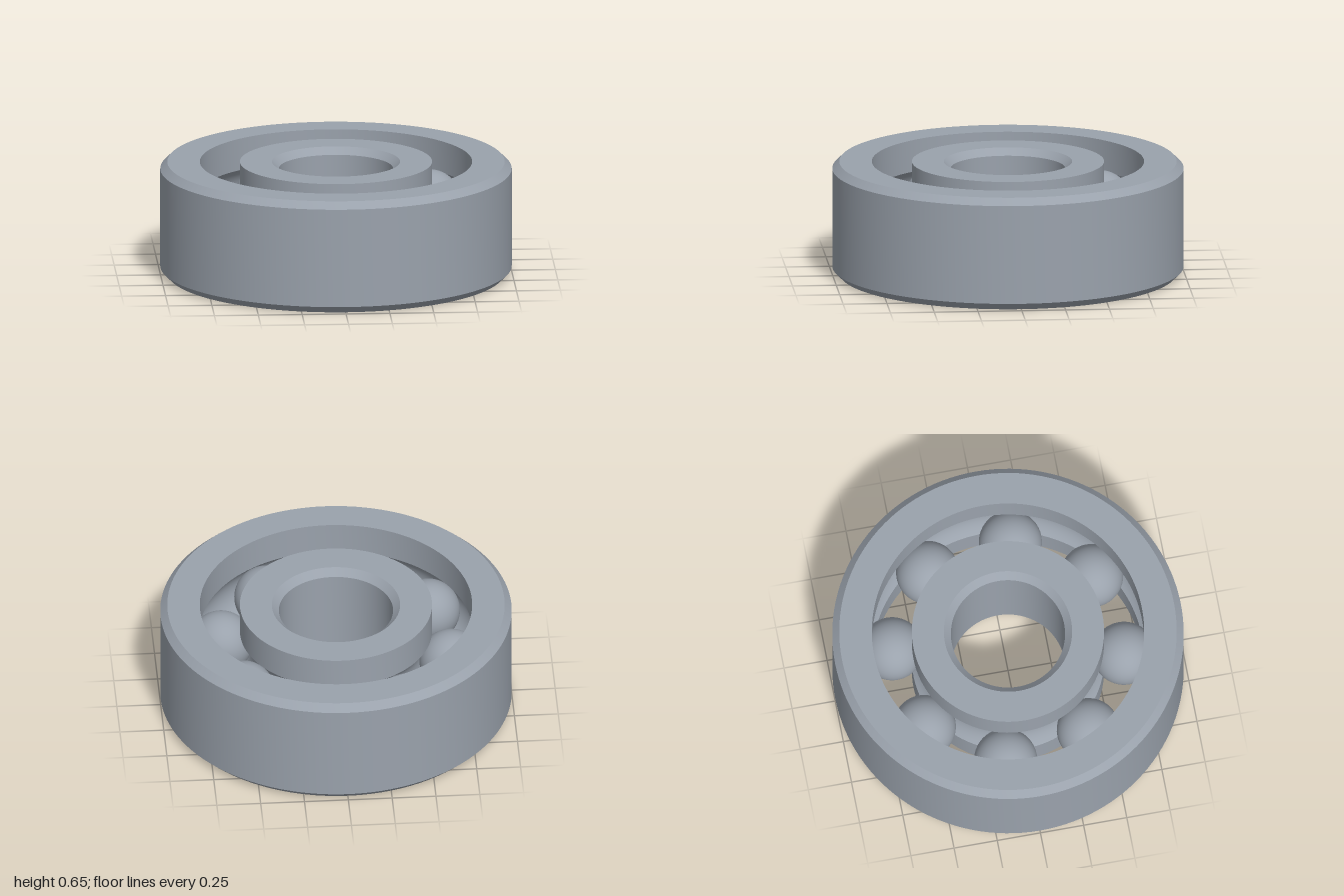
import * as THREE from 'three';
import { toCreasedNormals } from 'three/addons/utils/BufferGeometryUtils.js';

const HEIGHT = 0.65, MID = HEIGHT / 2, CHAMFER = 0.04;
const PITCH = 0.66, BALL = 0.18, GROOVE = 0.182, BALLS = 8;
const OUTER = 1, OUTER_INSIDE = 0.775, INNER_OUTSIDE = 0.547, BORE = 0.325;

// Groove arc on a race wall, from its lower edge to its upper edge
function groove(wall) {
  const side = Math.sign(wall - PITCH);
  const half = Math.acos(Math.abs(wall - PITCH) / GROOVE);
  return Array.from({ length: 15 }, (_, i) => {
    const a = half * (i / 7 - 1);
    return [PITCH + side * GROOVE * Math.cos(a), MID + GROOVE * Math.sin(a)];
  });
}

// Closed profile turned around y, with crisp edges
function ring(name, profile, material) {
  const points = [...profile, profile[0]].map(([r, y]) => new THREE.Vector2(r, y));
  const mesh = new THREE.Mesh(toCreasedNormals(new THREE.LatheGeometry(points, 128), 0.5), material);
  mesh.name = name;
  return mesh;
}

export function createModel() {
  const steel = new THREE.MeshStandardMaterial({ color: 0x9aa2ac });
  steel.name = 'steel';
  const model = new THREE.Group();
  model.name = 'ballBearing';

  // Outer ring: chamfered rim, grooved inner wall
  model.add(ring('outerRing', [
    [OUTER - CHAMFER, 0], [OUTER, CHAMFER], [OUTER, HEIGHT - CHAMFER], [OUTER - CHAMFER, HEIGHT],
    [OUTER_INSIDE, HEIGHT], ...groove(OUTER_INSIDE).reverse(), [OUTER_INSIDE, 0],
  ], steel));

  // Inner ring: grooved outer wall, chamfered bore
  model.add(ring('innerRing', [
    [INNER_OUTSIDE, 0], ...groove(INNER_OUTSIDE), [INNER_OUTSIDE, HEIGHT],
    [BORE + CHAMFER, HEIGHT], [BORE, HEIGHT - CHAMFER], [BORE, CHAMFER], [BORE + CHAMFER, 0],
  ], steel));

  // Balls evenly spaced between the races
  const ballGeometry = new THREE.SphereGeometry(BALL, 48, 32);
  const balls = new THREE.Group();
  balls.name = 'balls';
  for (let i = 0; i < BALLS; i++) {
    const a = THREE.MathUtils.degToRad(11.8) + (i / BALLS) * Math.PI * 2;
    const ball = new THREE.Mesh(ballGeometry, steel);
    ball.name = 'ball' + (i + 1);
    ball.position.set(PITCH * Math.sin(a), MID, -PITCH * Math.cos(a));
    balls.add(ball);
  }
  model.add(balls);
  return model;
}
